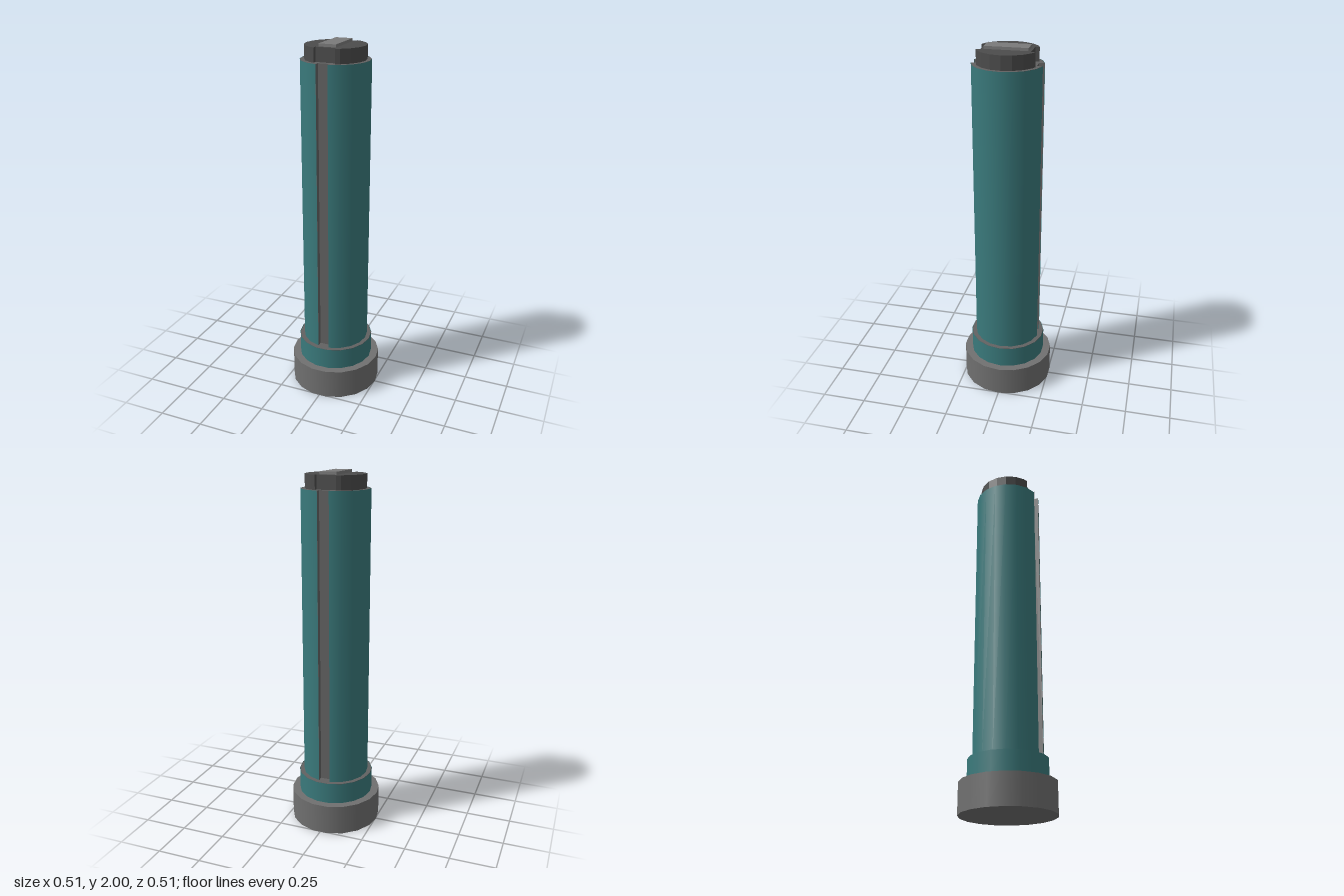
import * as THREE from 'three';

const SIDES = 18;
const STEP = (Math.PI * 2) / SIDES;
const HALF = STEP / 2; // a flat side faces front and back
const DEPTH = 1.015; // outlines are slightly deeper than wide

const paint = (color) => new THREE.MeshStandardMaterial({ color });
const baseGrey = paint(0x707070);
const coreGrey = paint(0x626262);
const capGrey = paint(0x4c4c4c);
const barGrey = paint(0x7a7a7a);
const teal = paint(0x3a7a7c);
teal.side = THREE.DoubleSide;

function add(parent, name, geometry, material, y = 0) {
  const mesh = new THREE.Mesh(geometry, material);
  mesh.name = name;
  mesh.position.y = y;
  parent.add(mesh);
}

// 18-sided outline with a rectangular notch at the front and back
function notchedOutline(r, halfWidth, zOuter, zInner) {
  const points = [];
  for (const s of [1, -1]) {
    for (let i = 0; i < 8; i++) {
      const a = HALF + STEP * (i + 0.5) + HALF;
      if (i < 7) points.push(new THREE.Vector2(s * r * Math.sin(a), s * r * DEPTH * Math.cos(a)));
    }
    for (const [x, z] of [[1, zOuter], [1, zInner], [-1, zInner], [-1, zOuter]]) {
      points.push(new THREE.Vector2(s * x * halfWidth, -s * z));
    }
  }
  return new THREE.Shape(points);
}

function extrudeUp(shape, height) {
  const g = new THREE.ExtrudeGeometry(shape, { depth: height, bevelEnabled: false });
  return g.rotateX(-Math.PI / 2);
}

function prism(r, height, openEnded = false, start = HALF, length = Math.PI * 2, sides = SIDES) {
  return new THREE.CylinderGeometry(r, r, height, sides, 1, openEnded, start, length)
    .translate(0, height / 2, 0)
    .scale(1, 1, DEPTH);
}

export function createModel() {
  const model = new THREE.Group();
  model.name = 'slottedCylinder';

  // wide foot and the collar above it
  add(model, 'base', prism(0.255, 0.17), baseGrey);
  add(model, 'collarCore', prism(0.21, 0.12), coreGrey, 0.17);
  add(model, 'collarSleeve', prism(0.212, 0.12, true), teal, 0.17);

  // grooved inner column
  const core = notchedOutline(0.184, 0.0325, 0.184, 0.155);
  add(model, 'groovedCore', extrudeUp(core, 1.62), coreGrey, 0.29);

  // coloured shell panels between the two grooves
  for (const [name, start] of [['leftPanel', HALF], ['rightPanel', HALF + Math.PI]]) {
    add(model, name, prism(0.186, 1.62, true, start, STEP * 8, 8), teal, 0.29);
  }

  // notched cap with its raised bar
  const cap = notchedOutline(0.163, 0.057, 0.152, 0.13);
  add(model, 'cap', extrudeUp(cap, 0.075), capGrey, 1.91);
  add(model, 'capBar', new THREE.BoxGeometry(0.094, 0.02, 0.23), barGrey, 1.99);

  return model;
}
